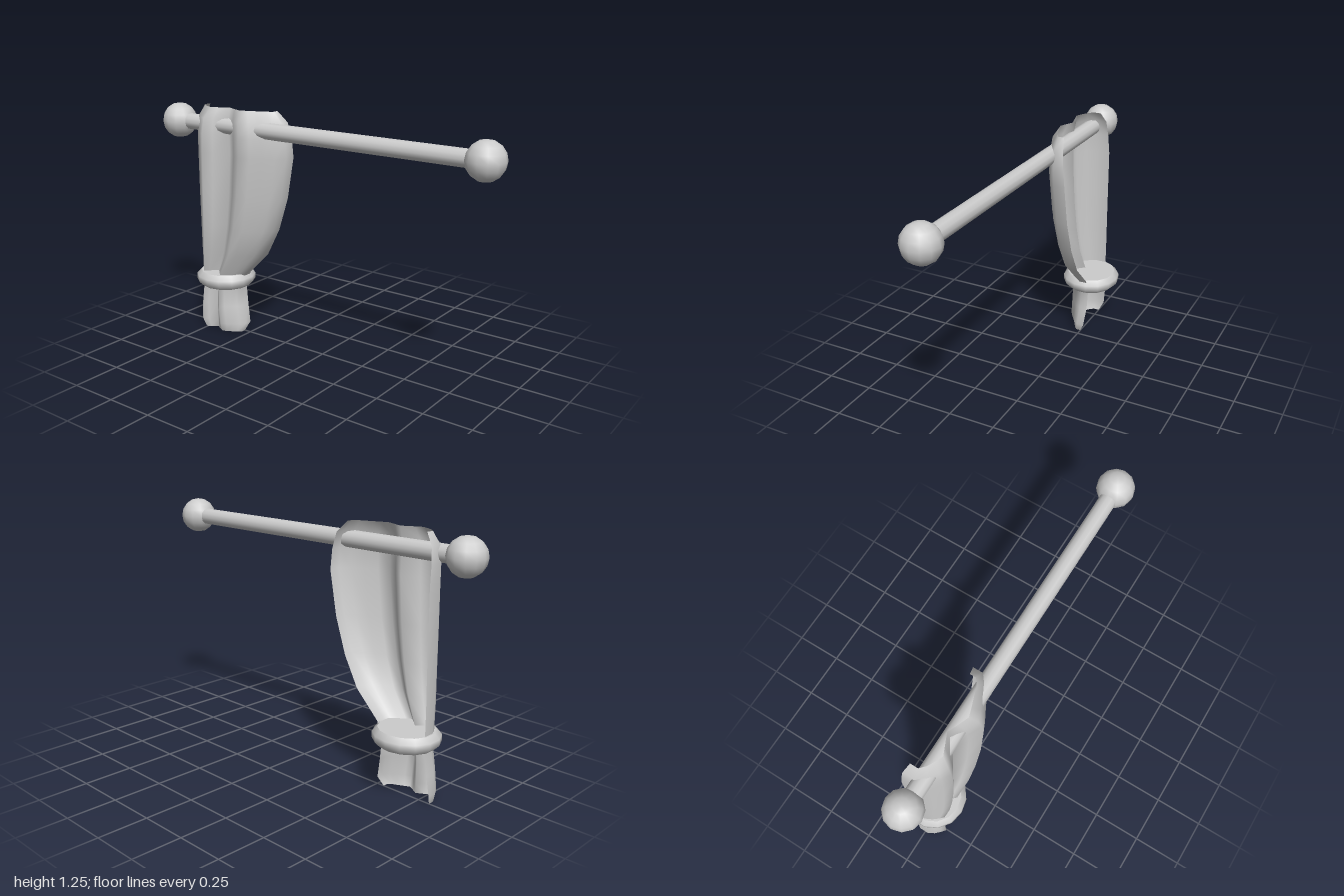
import * as THREE from 'three';

const material = new THREE.MeshStandardMaterial({ color: 0xcccccc });
const clothMaterial = new THREE.MeshStandardMaterial({ color: 0xcccccc, side: THREE.DoubleSide });

// Cloth cross-section: [across 0..1, depth 0 (back edge)..1 (fold crest)]
const folds = [
  [0, 0], [0, 0.4], [0.06, 0.66], [0.14, 0.86], [0.21, 1], [0.29, 0.84], [0.42, 0.57],
  [0.53, 0.8], [0.64, 1], [0.73, 0.87], [0.83, 0.7], [0.93, 0.54], [1, 0.32], [1, 0],
];

// Cloth rows from hem to top: [y, left x, right x, back z, front z]
const rows = [
  [0, -0.81, -0.54, 0, 0.08],
  [0.05, -0.825, -0.52, -0.025, 0.1],
  [0.15, -0.815, -0.54, -0.035, 0.1],
  [0.25, -0.8, -0.55, -0.037, 0.095],
  [0.34, -0.8, -0.52, -0.037, 0.1],
  [0.47, -0.8, -0.39, -0.037, 0.122],
  [0.62, -0.797, -0.31, -0.037, 0.135],
  [0.8, -0.795, -0.25, -0.037, 0.145],
  [1.02, -0.793, -0.21, -0.037, 0.15],
  [1.12, -0.79, -0.212, -0.028, 0.147],
  [1.2, -0.78, -0.23, -0.018, 0.135],
  [1.255, -0.74, -0.28, 0, 0.1],
];

function createCloth() {
  const positions = [];
  const indices = [];
  const n = folds.length;
  rows.forEach(([y, xl, xr, zb, zf], r) => {
    folds.forEach(([t, d], c) => {
      positions.push(xl + (xr - xl) * t, y, zb + (zf - zb) * d);
      if (r > 0 && c > 0) {
        const b = r * n + c, a = b - 1;
        indices.push(a - n, b - n, b, a - n, b, a);
      }
    });
  });
  const geometry = new THREE.BufferGeometry();
  geometry.setAttribute('position', new THREE.Float32BufferAttribute(positions, 3));
  geometry.setIndex(indices);
  geometry.computeVertexNormals();
  return geometry;
}

export function createModel() {
  const group = new THREE.Group();
  const add = (name, geometry, x, y, z, mat = material) => {
    const mesh = new THREE.Mesh(geometry, mat);
    mesh.name = name;
    mesh.position.set(x, y, z);
    group.add(mesh);
    return mesh;
  };

  // Rod with a ball at each end
  const rodY = 1.16, rodZ = 0.065;
  add('rod', new THREE.CylinderGeometry(0.043, 0.043, 1.8, 12), 0, rodY, rodZ).rotation.z = Math.PI / 2;
  for (const [name, side] of [['leftFinial', 1], ['rightFinial', -1]]) {
    add(name, new THREE.SphereGeometry(0.093, 12, 8), side * 0.905, rodY, rodZ);
  }

  // Gathered curtain, open at the back
  add('curtain', createCloth(), 0, 0, 0, clothMaterial);

  // Solid bevelled tieback; repeated points keep the caps flat
  const profile = [
    [0, -0.04], [0.14, -0.04], [0.14, -0.04], [0.165, -0.015],
    [0.165, 0.015], [0.14, 0.04], [0.14, 0.04], [0, 0.04],
  ].map(([r, y]) => new THREE.Vector2(r, y));
  add('tieback', new THREE.LatheGeometry(profile, 14), -0.67, 0.3, -0.003).scale.z = 0.95;

  return group;
}
